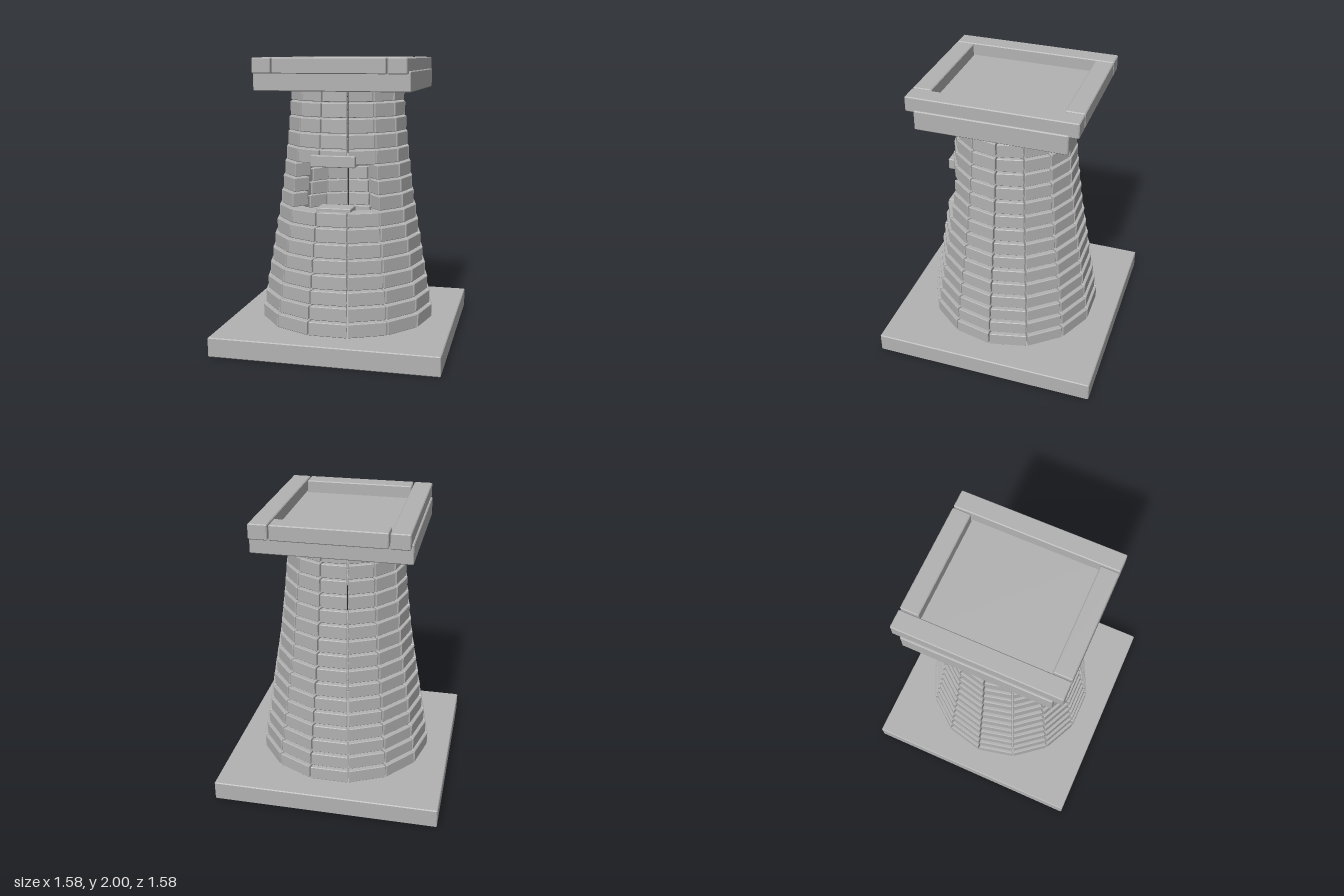
import * as THREE from 'three';

const stone = new THREE.MeshStandardMaterial({ color: 0xb2b2b2 });
stone.name = 'grey stone';

// Upright prism over a convex outline, every edge chamfered
function block(points, height, bevel) {
  const v = points.map(([x, y]) => new THREE.Vector2(x, y));
  const outline = [];
  v.forEach((p, i) => {
    for (const q of [v[(i + v.length - 1) % v.length], v[(i + 1) % v.length]]) {
      outline.push(p.clone().add(q.clone().sub(p).setLength(bevel)));
    }
  });
  const geo = new THREE.ExtrudeGeometry(new THREE.Shape(outline), {
    depth: height - 2 * bevel, bevelEnabled: true, bevelSegments: 1,
    bevelSize: bevel, bevelOffset: -bevel, bevelThickness: bevel,
  });
  return geo.translate(0, 0, bevel).rotateX(-Math.PI / 2);
}

export function createModel() {
  const tower = new THREE.Group();
  tower.name = 'stoneTower';

  function addBox(name, [x0, x1], [y0, y1], [z0, z1], bevel = 0.006) {
    const w = (x1 - x0) / 2, d = (z1 - z0) / 2;
    const mesh = new THREE.Mesh(block([[-w, -d], [w, -d], [w, d], [-w, d]], y1 - y0, bevel), stone);
    mesh.position.set((x0 + x1) / 2, y0, (z0 + z1) / 2);
    mesh.name = name;
    tower.add(mesh);
  }

  // Square foundation
  addBox('base', [-0.79, 0.79], [0, 0.137], [-0.79, 0.79]);

  // Hollow tapering wall of separate bricks, open joints between them
  const sides = 14, half = Math.PI / sides, thickness = 0.13, gap = 0.005;
  const radii = [0.625, 0.607, 0.589, 0.57, 0.552, 0.535, 0.517, 0.499,
    0.482, 0.469, 0.456, 0.443, 0.432, 0.422, 0.413, 0.405];
  radii.forEach((radius, row) => {
    const course = new THREE.Group();
    course.name = 'brickCourse' + (row + 1);
    course.position.y = 0.143 + row * 0.1043;
    const outer = radius * Math.cos(half);
    const inner = (radius - thickness) * Math.cos(half);
    const halfWidth = (d) => d * Math.tan(half) - gap / Math.cos(half);
    const wo = halfWidth(outer), wi = halfWidth(inner);
    const geo = block([[inner, -wi], [outer, -wo], [outer, wo], [inner, wi]], 0.095, 0.004);
    for (let k = 0; k < sides; k++) {
      // window opening, three bricks wide and three courses high
      if (row >= 8 && row <= 10 && k >= 2 && k <= 4) continue;
      const brick = new THREE.Mesh(geo, stone);
      brick.name = 'brick';
      brick.rotation.y = -(2 * k + 1) * half;
      course.add(brick);
    }
    tower.add(course);
  });

  // Window sill and lintel
  addBox('windowSill', [-0.12, 0.12], [0.95, 0.992], [0.285, 0.435], 0.005);
  addBox('windowLintel', [-0.155, 0.152], [1.273, 1.352], [0.26, 0.45], 0.005);

  // Top platform and its parapet
  addBox('topSlab', [-0.53, 0.53], [1.78, 1.914], [-0.508, 0.508]);
  for (const s of [-1, 1]) {
    const side = s < 0 ? 'right' : 'left';
    addBox(side + 'Parapet', [s * 0.453 - 0.064, s * 0.453 + 0.064], [1.896, 2], [-0.57, 0.57]);
    const end = s < 0 ? 'back' : 'front';
    addBox(end + 'Parapet', [-0.38, 0.38], [1.896, 2], [s * 0.506 - 0.064, s * 0.506 + 0.064]);
  }
  return tower;
}
